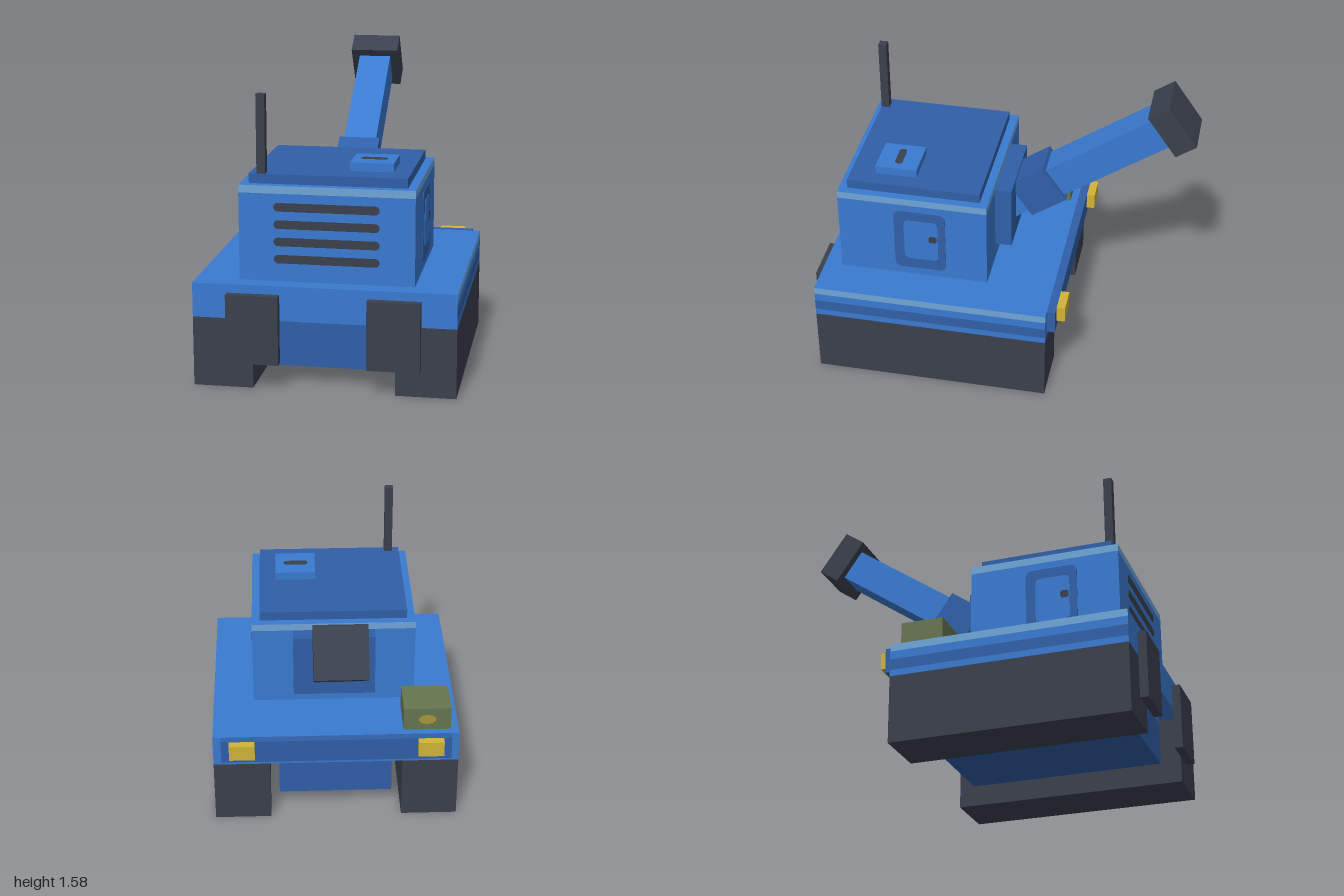
import * as THREE from 'three';

const mat = (name, color) => {
  const m = new THREE.MeshStandardMaterial({ color });
  m.name = name;
  return m;
};

export function createModel() {
  const blue = mat('blue', 0x3a7ad0);
  const darkBlue = mat('dark blue', 0x305fa8);
  const lightBlue = mat('light blue', 0x6ea5d8);
  const charcoal = mat('charcoal', 0x3a404d);
  const olive = mat('olive', 0x66754e);
  const yellow = mat('yellow', 0xd0b338);
  const mustard = mat('mustard', 0xa8963c);

  const model = new THREE.Group();
  model.name = 'armouredVehicle';

  const add = (name, geometry, material, parent = model) => {
    const mesh = new THREE.Mesh(geometry, material);
    mesh.name = name;
    parent.add(mesh);
    return mesh;
  };
  // Box given by its low and high limits on each axis
  const box = (name, material, x0, x1, y0, y1, z0, z1) => {
    const mesh = add(name, new THREE.BoxGeometry(x1 - x0, y1 - y0, z1 - z0), material);
    mesh.position.set((x0 + x1) / 2, (y0 + y1) / 2, (z0 + z1) / 2);
    return mesh;
  };
  // Thin rounded plate in the xy plane, facing +z
  const plate = (name, material, w, h, r, parent = model) => {
    const s = new THREE.Shape(), a = w / 2 - r, b = h / 2 - r;
    s.absarc(a, b, r, 0, Math.PI / 2);
    s.absarc(-a, b, r, Math.PI / 2, Math.PI);
    s.absarc(-a, -b, r, Math.PI, Math.PI * 1.5);
    s.absarc(a, -b, r, Math.PI * 1.5, Math.PI * 2);
    s.closePath();
    const g = new THREE.ExtrudeGeometry(s, { depth: 0.003, bevelEnabled: false, curveSegments: 5 });
    return add(name, g, material, parent);
  };

  // Tracks, front guards and rear lamps on both sides
  for (const s of [-1, 1]) {
    const pair = (name, m, a, b, ...rest) => box(name, m, Math.min(s * a, s * b), Math.max(s * a, s * b), ...rest);
    pair('track', charcoal, 0.365, 0.675, 0, 0.365, -0.31, 0.955);
    pair('frontGuard', charcoal, 0.225, 0.495, 0.14, 0.5, 0.955, 1);
    pair('rearLamp', yellow, 0.445, 0.585, 0.455, 0.545, -0.4, -0.355);
  }

  // Belly between the tracks
  box('belly', darkBlue, -0.315, 0.315, 0.095, 0.33, -0.21, 0.855);
  box('bellyBand', blue, -0.315, 0.315, 0.33, 0.365, -0.21, 0.855);

  // Hull deck in layers, striped only along its sides
  const layers = [[0.365, 0.4, blue], [0.4, 0.46, darkBlue], [0.46, 0.505, blue], [0.505, 0.545, lightBlue]];
  for (const [y0, y1, side] of layers) {
    box('hullLayer', [side, side, blue, blue, blue, blue], -0.675, 0.675, y0, y1, -0.31, 0.955);
  }
  box('rearPlate', darkBlue, -0.63, 0.63, 0.41, 0.545, -0.355, -0.31);

  // Cabin with a pale band below its roof
  box('cabin', blue, -0.45, 0.45, 0.545, 1.0, 0.05, 0.86);
  box('cabinBand', [lightBlue, lightBlue, blue, blue, lightBlue, lightBlue], -0.45, 0.45, 1.0, 1.04, 0.05, 0.86);
  box('roofPlate', darkBlue, -0.405, 0.405, 1.04, 1.09, 0.095, 0.815);
  box('hatch', blue, 0.09, 0.315, 1.09, 1.135, 0.455, 0.68);
  const hatchHandle = plate('hatchHandle', charcoal, 0.135, 0.04, 0.018);
  hatchHandle.rotation.x = -Math.PI / 2;
  hatchHandle.position.set(0.2, 1.135, 0.567);
  box('antenna', charcoal, -0.365, -0.32, 1.09, 1.495, 0.77, 0.815);

  // Grille slots on the front of the cabin
  for (let i = 0; i < 4; i++) {
    plate('grilleSlot', charcoal, 0.54, 0.044, 0.021).position.set(0, 0.931 - i * 0.09, 0.86);
  }

  // Side doors, each turned half round from the other
  for (const s of [-1, 1]) {
    const door = new THREE.Group();
    door.name = 'sideDoor';
    door.rotation.y = s * Math.PI / 2;
    door.position.set(s * 0.45, 0.775, 0.455 - s * 0.04);
    plate('doorFrame', darkBlue, 0.28, 0.37, 0.035, door);
    plate('doorPanel', blue, 0.185, 0.25, 0.025, door).position.set(0.007, 0.005, 0.003);
    plate('doorHandle', charcoal, 0.044, 0.04, 0.012, door).position.set(0.072, 0.021, 0.006);
    model.add(door);
  }

  // Stowage box with an oval mark on its rear face
  box('stowageBox', olive, -0.63, -0.37, 0.545, 0.68, -0.27, -0.04);
  const mark = add('stowageMark', new THREE.CircleGeometry(1, 20), mustard);
  mark.scale.set(0.048, 0.03, 1);
  mark.rotation.y = Math.PI;
  mark.position.set(-0.5, 0.612, -0.273);

  // Raised boom pointing up and backwards from its mount
  box('boomMount', darkBlue, -0.225, 0.225, 0.64, 1.0, -0.04, 0.05);
  const boom = new THREE.Group();
  boom.name = 'boom';
  boom.position.set(0, 0.869, -0.068);
  boom.rotation.x = THREE.MathUtils.degToRad(35);
  const segment = (name, material, w, start, end) => {
    add(name, new THREE.BoxGeometry(w, w, end - start), material, boom).position.z = -(start + end) / 2;
  };
  segment('boomCollar', darkBlue, 0.225, 0, 0.225);
  segment('boomArm', blue, 0.18, -0.13, 0.92);
  segment('boomHead', charcoal, 0.27, 0.91, 1.04);
  model.add(boom);

  return model;
}
